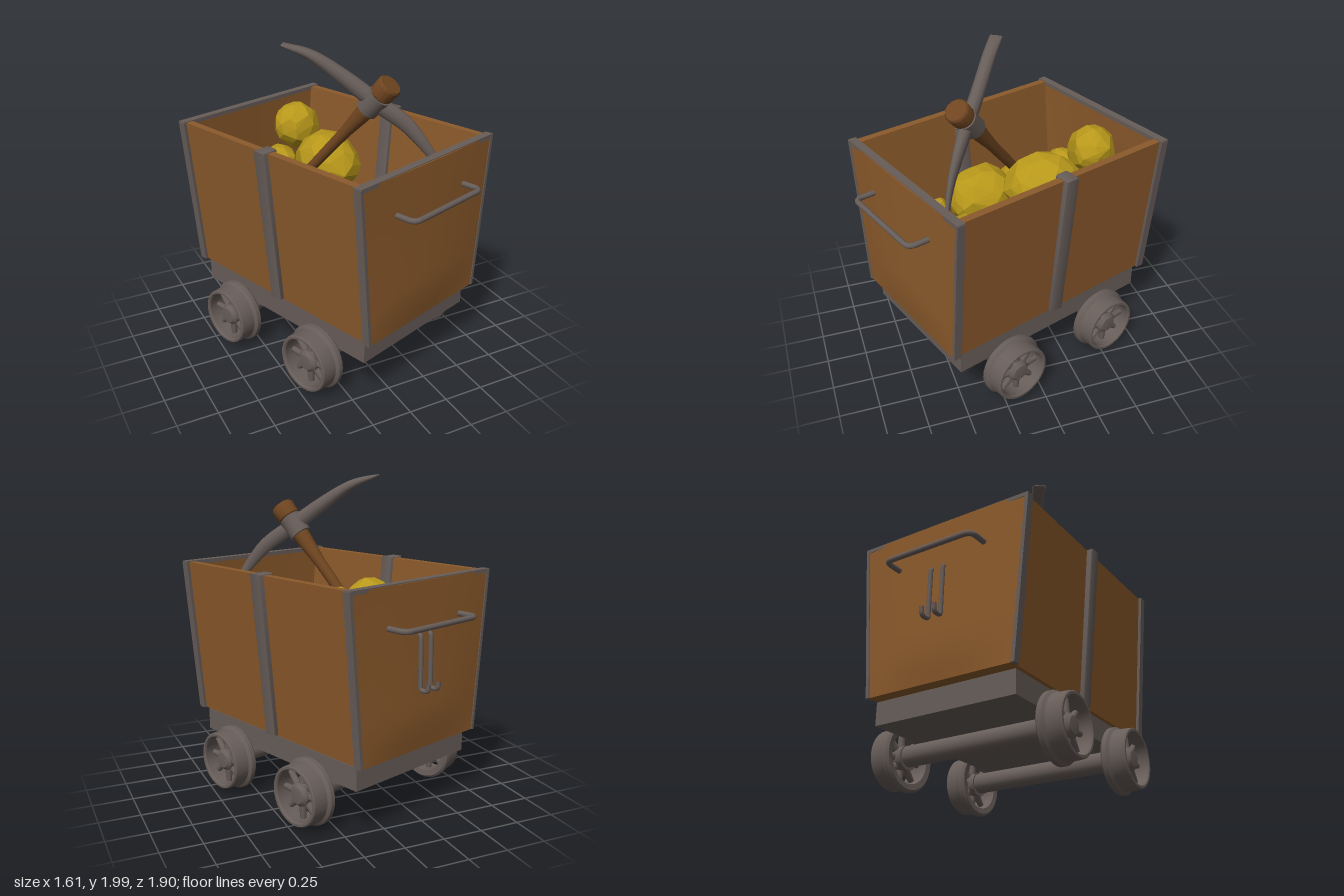
import * as THREE from 'three';
import { toCreasedNormals } from 'three/addons/utils/BufferGeometryUtils.js';
import { ConvexGeometry } from 'three/addons/geometries/ConvexGeometry.js';

const V = (x, y, z) => new THREE.Vector3(x, y, z);
const mat = (color, extra = {}) => new THREE.MeshStandardMaterial({ color, ...extra });
const wood = mat(0x8b5a2b);
const iron = mat(0x675d59);
const gold = mat(0xb8981a, { flatShading: true });
const darkWood = mat(0x6f4520);
const YAW = 0.328;            // the cart stands turned on its base
const LEAN = Math.atan(0.093 / 0.99);

function add(parent, name, geometry, material, x = 0, y = 0, z = 0) {
  const mesh = new THREE.Mesh(geometry, material);
  mesh.name = name;
  mesh.position.set(x, y, z);
  parent.add(mesh);
  return mesh;
}

// Polygon in x/y extruded along z, centred on z = 0
function slab(points, depth, bevel = 0) {
  const shape = new THREE.Shape(points.map(p => new THREE.Vector2(...p)));
  const g = new THREE.ExtrudeGeometry(shape, {
    depth: depth - 2 * bevel, bevelEnabled: bevel > 0, bevelSize: bevel,
    bevelThickness: bevel, bevelOffset: -bevel, bevelSegments: 2,
  });
  g.translate(0, 0, -depth / 2 + bevel);
  return toCreasedNormals(g, 0.7);
}

// Tapered end board with a slight outward belly
function endBoard() {
  const g = new THREE.BoxGeometry(2, 0.99, 0.045, 12, 12, 1);
  const p = g.attributes.position;
  for (let i = 0; i < p.count; i++) {
    const u = p.getX(i), v = p.getY(i) / 0.99 + 0.5;
    const belly = 0.03 * (1 - u * u) * Math.min(1, v * 5) * (1 - 0.6 * v);
    p.setX(i, u * (0.475 + 0.093 * v));
    p.setZ(i, p.getZ(i) + belly);
  }
  return toCreasedNormals(g, 0.7);
}

// Spoked wheel with an inner flange, axis along x, outside towards +x
function makeWheel() {
  const wheel = new THREE.Group();
  wheel.name = 'wheel';
  const rim = [[0.155, -0.07], [0.19, -0.075], [0.204, -0.062], [0.204, -0.035], [0.187, -0.02],
    [0.182, 0.068], [0.176, 0.075], [0.162, 0.075], [0.155, 0.065], [0.155, -0.07]];
  const g = new THREE.LatheGeometry(rim.map(p => new THREE.Vector2(...p)), 32);
  add(wheel, 'wheelRim', toCreasedNormals(g, 0.6).rotateZ(-Math.PI / 2), iron);
  const hub = [[0, -0.06], [0.075, -0.06], [0.07, 0.03], [0.05, 0.05], [0, 0.055]];
  const h = new THREE.LatheGeometry(hub.map(p => new THREE.Vector2(...p)), 20);
  add(wheel, 'wheelHub', toCreasedNormals(h, 0.6).rotateZ(-Math.PI / 2), iron);
  for (let i = 0; i < 8; i++) {
    const spoke = new THREE.CylinderGeometry(0.016, 0.026, 0.12, 8).translate(0, 0.11, 0);
    add(wheel, 'wheelSpoke', spoke, iron).rotation.x = i * Math.PI / 4;
  }
  return wheel;
}

// Rounded rod through a few points
function rod(points, radius, smooth = 0.05) {
  const path = new THREE.CurvePath();
  let last = points[0];
  for (let i = 1; i < points.length; i++) {
    const p = points[i], next = points[i + 1];
    const dir = p.clone().sub(last).normalize();
    const end = next ? p.clone().addScaledVector(dir, -smooth) : p;
    path.add(new THREE.LineCurve3(last, end));
    if (!next) break;
    last = p.clone().addScaledVector(next.clone().sub(p).normalize(), smooth);
    path.add(new THREE.QuadraticBezierCurve3(end, p, last));
  }
  return new THREE.TubeGeometry(path, 60, radius, 10);
}

// Faceted nugget: hull of jittered points on a sphere
function nugget(seed) {
  let s = seed * 7919 + 17;
  const rnd = () => (s = (s * 16807) % 2147483647) / 2147483647;
  const pts = [], n = 60;
  for (let i = 0; i < n; i++) {
    const y = 1 - 2 * (i + 0.5) / n, a = i * 2.39996 + rnd() * 0.5;
    const r = Math.sqrt(1 - y * y), k = 0.93 + rnd() * 0.1;
    pts.push(V(Math.cos(a) * r * k, y * k, Math.sin(a) * r * k));
  }
  return new ConvexGeometry(pts);
}

// Curved pick head: elliptical sections, chisel at one end, point at the other
function pickHead() {
  const curve = new THREE.CatmullRomCurve3([V(-0.31, 1.985, -0.03), V(-0.17, 1.925, 0.06),
    V(0, 1.79, 0.18), V(0.14, 1.66, 0.29), V(0.28, 1.54, 0.39), V(0.38, 1.4, 0.465), V(0.5, 1.2, 0.53)]);
  const side = V(-0.57, 0, 0.82), rings = 28, sides = 10, pos = [], index = [];
  for (let i = 0; i <= rings; i++) {
    const t = i / rings, c = curve.getPoint(t);
    const up = curve.getTangent(t).cross(side).normalize();
    const thick = 0.006 + 0.046 * Math.pow(Math.sin(Math.PI * t), 0.8);
    const width = t < 0.5 ? 0.043 : 0.006 + 0.074 * (1 - t);
    for (let j = 0; j < sides; j++) {
      const a = j / sides * Math.PI * 2;
      const p = c.clone().addScaledVector(side, width * Math.cos(a)).addScaledVector(up, thick * Math.sin(a));
      pos.push(p.x, p.y, p.z);
      const k = i * sides + j, m = i * sides + (j + 1) % sides;
      if (i < rings) index.push(k, m, k + sides, m, m + sides, k + sides);
    }
  }
  for (let j = 1; j < sides - 1; j++) {
    const e = rings * sides;
    index.push(0, j + 1, j, e, e + j, e + j + 1);
  }
  const g = new THREE.BufferGeometry();
  g.setAttribute('position', new THREE.Float32BufferAttribute(pos, 3));
  g.setIndex(index);
  g.computeVertexNormals();
  return g;
}

export function createModel() {
  const model = new THREE.Group();
  model.name = 'mineCart';
  const cart = new THREE.Group();
  cart.name = 'cart';
  cart.rotation.y = YAW;
  model.add(cart);

  // Chassis and floor
  add(cart, 'chassis', new THREE.BoxGeometry(0.93, 0.14, 1.41), iron, 0, 0.37, 0);
  add(cart, 'floor', new THREE.BoxGeometry(0.95, 0.06, 1.5), wood, 0, 0.48, 0);

  // Side walls and their central straps, mirrored
  const sideWall = slab([[0.43, 0.45], [0.477, 0.45], [0.568, 1.44], [0.52, 1.44]], 1.5);
  const strap = slab([[0.405, 0.45], [0.505, 0.45], [0.604, 1.448], [0.497, 1.448]], 0.09, 0.012);
  for (const turn of [0, Math.PI]) {
    add(cart, 'sideWall', sideWall, wood).rotation.y = turn;
    add(cart, 'sideStrap', strap, iron).rotation.y = turn;
  }

  // End walls with iron edging and a carrying handle
  const board = endBoard();
  for (const turn of [0, Math.PI]) {
    const end = new THREE.Group();
    end.name = 'end';
    end.rotation.y = turn;
    cart.add(end);
    add(end, 'endWall', board, wood, 0, 0.945, 0.74);
    add(end, 'topEdging', new THREE.BoxGeometry(1.17, 0.025, 0.05), iron, 0, 1.433, 0.742);
    for (const s of [-1, 1])
      add(end, 'sideEdging', new THREE.BoxGeometry(0.022, 0.995, 0.052), iron, s * 0.53, 0.945, 0.742)
        .rotation.z = -s * LEAN;
    const path = [V(-0.3, 1.21, 0.74), V(-0.3, 1.21, 0.9), V(0.3, 1.21, 0.9), V(0.3, 1.21, 0.74)];
    add(end, 'handle', rod(path, 0.017), iron);
  }

  // Pair of hooks on the back wall
  for (const x of [-0.033, 0.052]) {
    const path = [V(x, 1.14, -0.75), V(x, 1.14, -0.79), V(x, 0.82, -0.795), V(x, 0.82, -0.85), V(x, 0.87, -0.855)];
    add(cart, 'backHook', rod(path, 0.014, 0.02), iron);
  }

  // Axles and wheels
  for (const z of [-0.365, 0.365]) {
    add(cart, 'axle', new THREE.CylinderGeometry(0.063, 0.063, 1.06, 20).rotateZ(Math.PI / 2), iron, 0, 0.215, z);
    for (const s of [-1, 1]) {
      const wheel = makeWheel();
      wheel.position.set(s * 0.56, 0.208, z);
      if (s < 0) wheel.rotation.y = Math.PI;
      cart.add(wheel);
    }
  }

  // Nuggets: x, y, z, radius, z stretch
  const heap = [
    [0.01, 1.29, -0.55, 0.155, 1], [-0.17, 1.1, -0.43, 0.115, 1.15], [0.07, 1.14, -0.21, 0.2, 1.3],
    [-0.36, 0.9, -0.2, 0.145, 1.05], [-0.23, 1.1, -0.3, 0.06, 1], [-0.24, 0.93, 0.1, 0.21, 1.13],
    [0.3, 0.86, 0.15, 0.215, 1], [0.4, 1.0, 0.18, 0.15, 1], [0.48, 1.1, 0.39, 0.145, 1.25],
    [0.23, 1.0, 0.53, 0.145, 0.9], [-0.08, 0.88, 0.56, 0.145, 1.3], [-0.03, 1.03, 0.44, 0.06, 1],
    [0.08, 0.8, 0.3, 0.19, 1], [0.04, 0.69, 0.48, 0.25, 1], [0.02, 0.74, -0.2, 0.22, 1],
  ];
  heap.forEach(([x, y, z, r, k], i) =>
    add(model, 'nugget', nugget(i + 1), gold, x, y, z).scale.set(r, r, r * k));

  // Pickaxe standing in the heap
  const pick = new THREE.Group();
  pick.name = 'pickaxe';
  model.add(pick);
  const foot = V(-0.42, 0.5, -0.58), tip = V(0.185, 1.785, 0.365);
  const axis = tip.clone().sub(foot), len = axis.length();
  const shaft = new THREE.Group();
  shaft.name = 'pickShaft';
  shaft.position.copy(foot);
  shaft.quaternion.setFromUnitVectors(V(0, 1, 0), axis.normalize());
  pick.add(shaft);
  const profile = [[0, 0], [0.028, 0.005], [0.034, 0.04], [0.026, 0.15], [0.03, len * 0.5], [0.036, len - 0.45],
    [0.055, len - 0.23], [0.062, len - 0.1], [0.072, len - 0.09], [0.075, len - 0.012], [0.066, len], [0, len]];
  add(shaft, 'pickHandle', toCreasedNormals(
    new THREE.LatheGeometry(profile.map(p => new THREE.Vector2(...p)), 16), 0.7), darkWood);
  add(shaft, 'pickCollar', toCreasedNormals(new THREE.CylinderGeometry(0.074, 0.07, 0.13, 16), 0.7),
    iron, 0, len - 0.165, 0);
  add(pick, 'pickHead', pickHead(), iron);
  return model;
}
